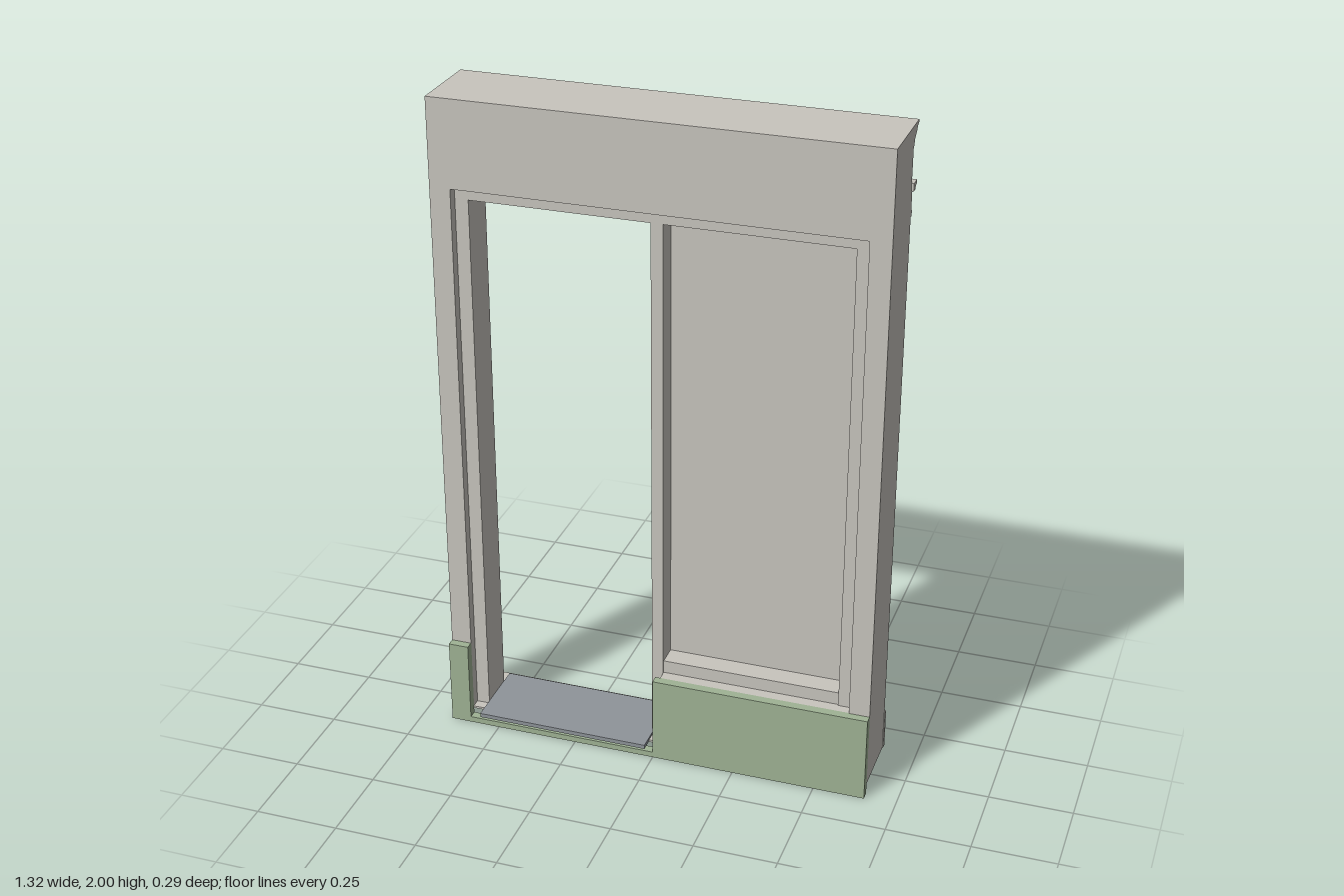
import * as THREE from 'three';

export function createModel() {
  const group = new THREE.Group();
  const mat = (name, color) => {
    const m = new THREE.MeshStandardMaterial({ color });
    m.name = name;
    return m;
  };
  const stone = mat('pale stone', 0xc8c5be);
  const green = mat('green plinth', 0x9fb394);
  const slate = mat('slate floor', 0x8f949a);

  const add = (name, geometry, material) => {
    const mesh = new THREE.Mesh(geometry, material);
    mesh.name = name;
    group.add(mesh);
    return mesh;
  };
  // Box given by its limits on each axis
  const box = (name, material, x0, x1, y0, y1, z0, z1) => {
    const g = new THREE.BoxGeometry(x1 - x0, y1 - y0, z1 - z0);
    g.translate((x0 + x1) / 2, (y0 + y1) / 2, (z0 + z1) / 2);
    return add(name, g, material);
  };
  // Moulding: profile points are [distance towards the back, height], run along x
  const moulding = (name, points, halfWidth) => {
    const shape = new THREE.Shape(points.map(([u, v]) => new THREE.Vector2(u, v)));
    const g = new THREE.ExtrudeGeometry(shape, { depth: 2 * halfWidth, bevelEnabled: false });
    g.translate(0, 0, -halfWidth);
    g.rotateY(Math.PI / 2);
    return add(name, g, stone);
  };

  const W = 0.655, OPEN = 0.593, BASE = 0.035, HEAD = 1.74;

  // Header with the cornice and architrave on its back
  moulding('headerAndCornice', [
    [-0.1, HEAD], [0.111, HEAD], [0.111, 1.755], [0.103, 1.765], [0.103, 1.815],
    [0.093, 1.82], [0.093, 1.935], [0.101, 1.945], [0.103, 1.957], [0.112, 1.964],
    [0.124, 1.974], [0.132, 1.986], [0.145, 1.992], [0.145, 2], [-0.1, 2],
  ], W);
  moulding('stringCourse', [
    [0.09, 1.818], [0.108, 1.818], [0.112, 1.827], [0.124, 1.83], [0.124, 1.84], [0.09, 1.84],
  ], 0.662);

  // Side walls, rear casings and casing blocks
  for (const s of [-1, 1]) {
    const side = (name, a, b, ...rest) =>
      box(name, stone, Math.min(s * a, s * b), Math.max(s * a, s * b), ...rest);
    side('sideWall', OPEN, W, BASE, HEAD, -0.1, 0.1);
    side('rearCasing', OPEN + 0.01, W - 0.012, 0.15, HEAD, -0.11, -0.1);
    side('casingBlock', OPEN - 0.003, W + 0.002, BASE, 0.16, -0.113, -0.095);
    side('frameJamb', 0.553, OPEN, BASE, HEAD, -0.05, 0.07);
  }

  // Inner frame
  box('frameHead', stone, -0.553, 0.553, 1.702, HEAD, -0.05, 0.07);
  box('mullion', stone, -0.02, 0.015, BASE, 1.702, -0.05, 0.07);
  box('bottomRail', stone, 0.015, 0.553, 0.27, 0.31, -0.045, 0.065);
  box('pane', stone, 0.015, 0.553, 0.31, 1.702, -0.01, 0);

  // Low wall under the pane
  box('bulkhead', stone, 0.015, OPEN, BASE, 0.27, -0.105, 0.1);

  // Threshold and doorway floor
  box('threshold', stone, -OPEN, 0.015, BASE, 0.042, -0.108, 0.1);
  box('doorwayFloor', slate, -0.553, -0.02, 0.037, 0.05, -0.095, 0.143);

  // Green plinth along the front
  box('plinthLeft', green, -W, -OPEN, 0, 0.27, 0.098, 0.125);
  box('plinthRight', green, 0, W, 0, 0.27, 0.098, 0.125);
  box('plinthStrip', green, -OPEN, 0, 0, 0.018, 0.098, 0.125);

  return group;
}
